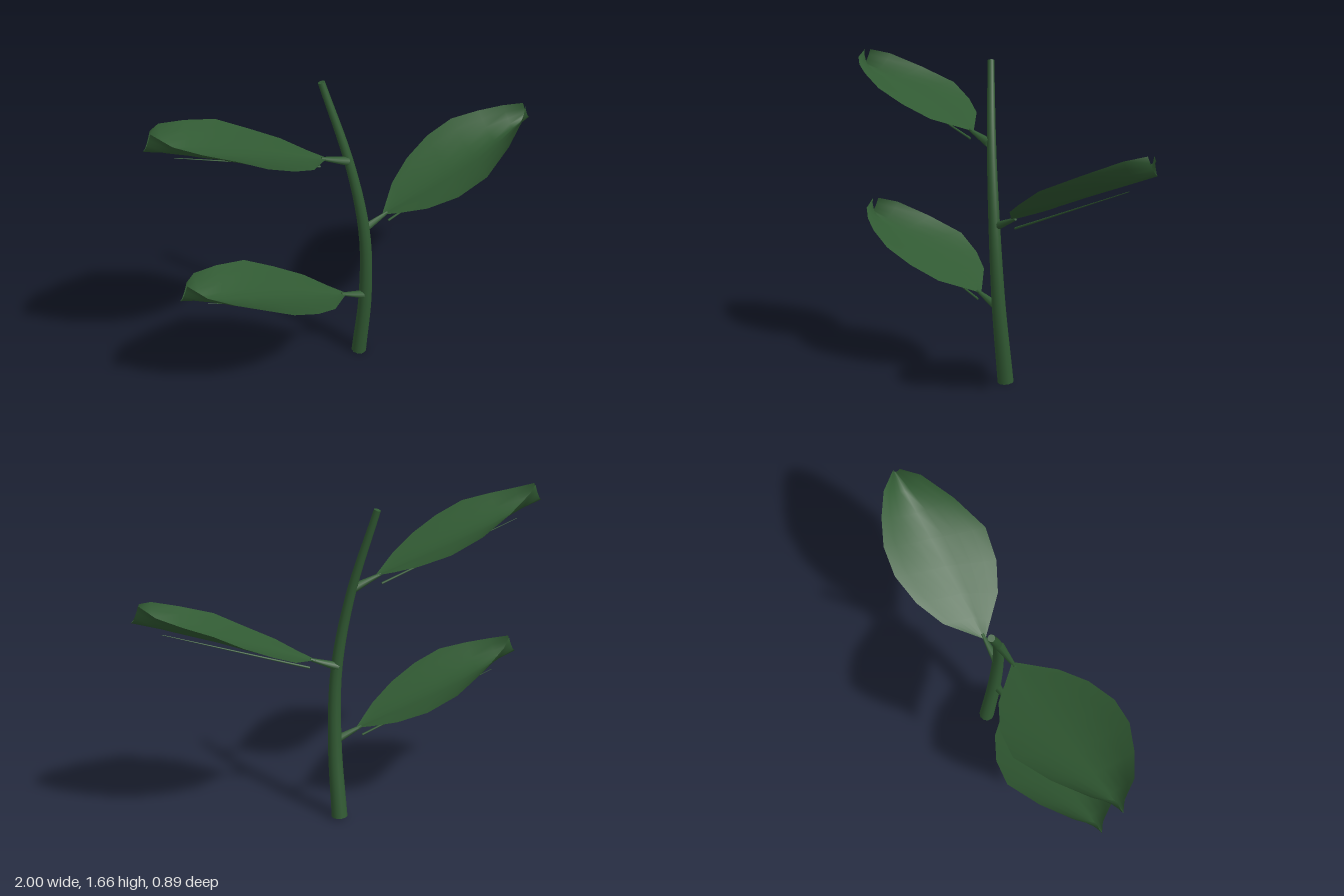
import * as THREE from 'three';

const V = (x, y, z) => new THREE.Vector3(x, y, z);

// Tapered rod between two points
function rod(a, b, ra, rb, material, name, sides = 8) {
  const dir = b.clone().sub(a);
  const mesh = new THREE.Mesh(new THREE.CylinderGeometry(rb, ra, dir.length(), sides), material);
  mesh.position.copy(a).lerp(b, 0.5);
  mesh.quaternion.setFromUnitVectors(V(0, 1, 0), dir.normalize());
  mesh.name = name;
  return mesh;
}

// Curved stem: a tube narrowed towards its top, with end caps
function makeStem(material) {
  const stem = new THREE.Group();
  stem.name = 'stem';
  const curve = new THREE.CatmullRomCurve3([
    V(0.033, 0.008, -0.06), V(0.055, 0.4, -0.012), V(0.045, 0.8, 0.008),
    V(-0.025, 1.2, -0.008), V(-0.148, 1.63, -0.06),
  ]);
  const steps = 24, sides = 10;
  const radius = (t) => 0.041 - 0.024 * t;
  const geo = new THREE.TubeGeometry(curve, steps, 1, sides);
  const pos = geo.attributes.position;
  for (let i = 0; i <= steps; i++) {
    const c = curve.getPointAt(i / steps);
    for (let j = 0; j <= sides; j++) {
      const k = i * (sides + 1) + j;
      const p = V(0, 0, 0).fromBufferAttribute(pos, k).sub(c).multiplyScalar(radius(i / steps)).add(c);
      pos.setXYZ(k, p.x, p.y, p.z);
    }
  }
  const tube = new THREE.Mesh(geo, material);
  tube.name = 'stemTube';
  stem.add(tube);
  for (const t of [0, 1]) {
    const cap = new THREE.Mesh(new THREE.CircleGeometry(radius(t), sides), material);
    cap.position.copy(curve.getPointAt(t));
    cap.quaternion.setFromUnitVectors(V(0, 0, 1), curve.getTangentAt(t).multiplyScalar(t ? 1 : -1));
    cap.name = 'stemCap';
    stem.add(cap);
  }
  return stem;
}

// Cupped blade: rows run from one margin, down to the midrib, up to the other margin
function bladeGeometry() {
  const backEdge = [
    [0.15, 0.872, -0.046], [0.245, 0.93, -0.23], [0.35, 1.0, -0.34], [0.48, 1.075, -0.42],
    [0.615, 1.145, -0.447], [0.755, 1.185, -0.43], [0.877, 1.22, -0.395], [0.962, 1.257, -0.33],
  ];
  const frontEdge = [
    [0.15, 0.872, -0.034], [0.235, 0.9, 0.01], [0.35, 0.945, 0.07], [0.5, 1.005, 0.093],
    [0.65, 1.085, 0.068], [0.8, 1.165, -0.06], [0.92, 1.235, -0.2], [0.962, 1.257, -0.298],
  ];
  const midX = [0.15, 0.26, 0.38, 0.52, 0.66, 0.79, 0.9, 1.0];
  const half = 4, cols = 2 * half + 1;
  const points = [], index = [];
  midX.forEach((x, i) => {
    const mid = V(x, 0.868 + 0.36 * (x - 0.15), -0.04 - 0.335 * (x - 0.15));
    for (let j = -half; j <= half; j++) {
      const s = Math.abs(j) / half;
      const edge = V(...(j < 0 ? backEdge : frontEdge)[i]);
      const p = mid.clone().lerp(edge, s);
      p.y = mid.y + (edge.y - mid.y) * Math.pow(s, 1.5);
      points.push(p);
    }
    if (i === 0) return;
    for (let j = 0; j < cols - 1; j++) {
      const a = (i - 1) * cols + j, b = a + cols;
      index.push(a, a + 1, b, a + 1, b + 1, b);
    }
  });
  const geo = new THREE.BufferGeometry().setFromPoints(points);
  geo.setIndex(index);
  geo.computeVertexNormals();
  return geo;
}

export function createModel() {
  const model = new THREE.Group();
  model.name = 'plantSprig';
  const green = new THREE.MeshStandardMaterial({ color: 0x315a33, side: THREE.DoubleSide });
  green.name = 'leafGreen';

  model.add(makeStem(green));

  // Three alternating leaves, each with a stalk and a fine vein under the blade
  const blade = bladeGeometry();
  const leaves = [
    ['lowerRightLeaf', Math.PI, 0.092, -0.405],
    ['leftLeaf', 0, 0, 0],
    ['upperRightLeaf', Math.PI, 0, 0.408],
  ];
  for (const [name, turn, dx, dy] of leaves) {
    const leaf = new THREE.Group();
    leaf.name = name;
    const surface = new THREE.Mesh(blade, green);
    surface.name = 'blade';
    leaf.add(
      surface,
      rod(V(0.04, 0.82, 0), V(0.175, 0.876, -0.045), 0.023, 0.008, green, 'stalk'),
      rod(V(0.18, 0.83, -0.04), V(0.87, 1.093, -0.265), 0.006, 0.0015, green, 'vein', 6),
    );
    leaf.rotation.y = turn;
    leaf.position.set(dx, dy, 0);
    model.add(leaf);
  }
  return model;
}
